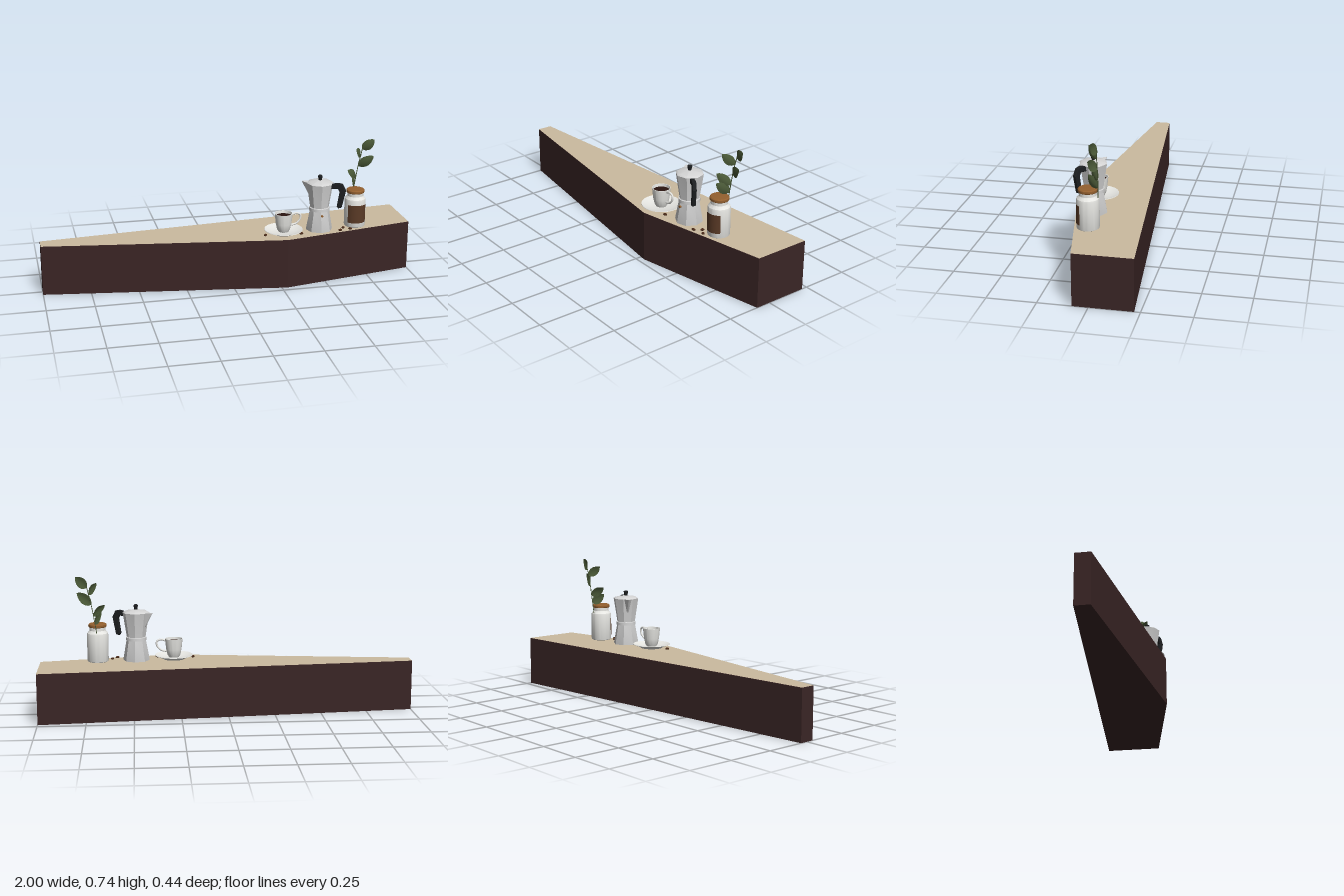
import * as THREE from 'three';
import { toCreasedNormals } from 'three/addons/utils/BufferGeometryUtils.js';
import { ConvexGeometry } from 'three/addons/geometries/ConvexGeometry.js';

const TOP = 0.27; // height of the counter top

function material(name, color, side = THREE.FrontSide) {
  const m = new THREE.MeshStandardMaterial({ color, side });
  m.name = name;
  return m;
}

const v2 = (list) => list.map(([x, y]) => new THREE.Vector2(x, y));
const v3 = (list) => list.map((p) => new THREE.Vector3(...p));

function add(parent, name, geometry, mat, pos = [0, 0, 0]) {
  const mesh = new THREE.Mesh(geometry, mat);
  mesh.name = name;
  mesh.position.set(...pos);
  parent.add(mesh);
  return mesh;
}

function subgroup(parent, name, x, y, z) {
  const g = new THREE.Group();
  g.name = name;
  g.position.set(x, y, z);
  parent.add(g);
  return g;
}

function lathe(points, segments = 40, phiStart = 0) {
  return toCreasedNormals(new THREE.LatheGeometry(v2(points), segments, phiStart), 0.5);
}

// Pointed leaf, folded lightly along its midrib, running from base to tip
function leafGeometry(base, tip, facing, width) {
  const a = new THREE.Vector3(...base);
  const axis = new THREE.Vector3(...tip).sub(a);
  const side = axis.clone().cross(new THREE.Vector3(...facing)).normalize();
  const normal = side.clone().cross(axis).normalize();
  const len = axis.length();
  const geo = new THREE.PlaneGeometry(2, 1, 4, 10);
  const p = geo.attributes.position;
  for (let i = 0; i < p.count; i++) {
    const u = p.getX(i), t = p.getY(i) + 0.5;
    const w = 0.5 * width * Math.pow(Math.sin(Math.PI * Math.pow(t, 0.85)), 0.75) || 0;
    const lift = len * 0.1 * Math.sin(Math.PI * t) - Math.abs(u) * w * 0.25;
    const q = a.clone().addScaledVector(axis, t).addScaledVector(side, u * w).addScaledVector(normal, lift);
    p.setXYZ(i, q.x, q.y, q.z);
  }
  geo.computeVertexNormals();
  return geo;
}

export function createModel() {
  const model = new THREE.Group();
  model.name = 'coffeeCounter';

  const darkWood = material('darkWood', 0x3a2525);
  const beige = material('beigeTop', 0xcbbba0);
  const white = material('whiteCeramic', 0xe9e9e5, THREE.DoubleSide);
  const metal = material('metal', 0xd4d4d4);
  const black = material('black', 0x1d1f21);
  const cork = material('cork', 0x94602f);
  const labelBrown = material('labelBrown', 0x5a3a26, THREE.DoubleSide);
  const beanBrown = material('beanBrown', 0x4a2a18);
  const green = material('leafGreen', 0x4b5a38, THREE.DoubleSide);
  const coffee = material('coffee', 0x2a1510);

  // Counter: five-sided slab with a pale top (shape y becomes -z)
  const outline = new THREE.Shape(v2([[-1, -0.04], [0.28, -0.22], [1, -0.08], [1, 0.22], [-1, 0.04]]));
  const slab = new THREE.ExtrudeGeometry(outline, { depth: TOP - 0.002, bevelEnabled: false });
  slab.rotateX(-Math.PI / 2);
  add(model, 'counterBody', slab, darkWood);
  const sheet = new THREE.ShapeGeometry(outline);
  sheet.rotateX(-Math.PI / 2);
  add(model, 'counterTop', sheet, beige, [0, TOP, 0]);

  // Cup on its saucer
  const cup = subgroup(model, 'cupAndSaucer', 0.282, TOP, 0.109);
  add(cup, 'saucer', lathe([[0, 0.001], [0.058, 0.001], [0.064, 0.006], [0.103, 0.021], [0.102, 0.024],
    [0.062, 0.011], [0, 0.01]], 48), white);
  add(cup, 'cup', lathe([[0, 0.011], [0.028, 0.011], [0.03, 0.016], [0.035, 0.024], [0.042, 0.055],
    [0.048, 0.112], [0.045, 0.112], [0.039, 0.055], [0.03, 0.025], [0, 0.022]]), white);
  const coffeeDisc = new THREE.CircleGeometry(0.0435, 32);
  coffeeDisc.rotateX(-Math.PI / 2);
  add(cup, 'coffee', coffeeDisc, coffee, [0, 0.097, 0]);
  const cupLoop = new THREE.CatmullRomCurve3(v3([[0.043, 0.1, 0], [0.068, 0.108, 0], [0.091, 0.098, 0],
    [0.09, 0.073, 0], [0.068, 0.05, 0], [0.04, 0.043, 0]]));
  add(cup, 'cupHandle', new THREE.TubeGeometry(cupLoop, 28, 0.0055, 8), white);

  // Stovetop pot: eight-sided base, waist, flared jug and lid
  const pot = subgroup(model, 'coffeePot', 0.485, TOP, 0.09);
  pot.rotation.y = -0.5;
  add(pot, 'potBody', lathe([[0, 0.001], [0.07, 0.001], [0.071, 0.008], [0.053, 0.108], [0.053, 0.128],
    [0.051, 0.13], [0.071, 0.258], [0.072, 0.262], [0.062, 0.269], [0.012, 0.278], [0, 0.278]], 8, Math.PI / 8), metal);
  add(pot, 'potWaistRing', new THREE.CylinderGeometry(0.055, 0.055, 0.016, 32), metal, [0, 0.12, 0]);
  add(pot, 'potSpout', new ConvexGeometry(v3([[-0.055, 0.262, 0.027], [-0.055, 0.262, -0.027],
    [-0.1, 0.264, 0.003], [-0.1, 0.264, -0.003], [-0.052, 0.18, 0.004], [-0.052, 0.18, -0.004],
    [-0.04, 0.25, 0]])), metal);
  add(pot, 'lidKnob', toCreasedNormals(new THREE.CylinderGeometry(0.013, 0.008, 0.026, 8), 0.5), black, [0, 0.288, 0]);
  add(pot, 'lidKnobCap', toCreasedNormals(new THREE.CylinderGeometry(0.008, 0.013, 0.004, 8), 0.5), black, [0, 0.303, 0]);
  const handleShape = new THREE.Shape(v2([[0.058, 0.236], [0.1, 0.242], [0.11, 0.222], [0.097, 0.142],
    [0.104, 0.132], [0.118, 0.137], [0.138, 0.228], [0.121, 0.262], [0.1, 0.266], [0.058, 0.258]]));
  const handle = new THREE.ExtrudeGeometry(handleShape, { depth: 0.016, bevelEnabled: true, bevelSize: 0.002,
    bevelThickness: 0.002, bevelSegments: 1 });
  add(pot, 'potHandle', handle, black, [0, 0, -0.008]);
  const valve = new THREE.CylinderGeometry(0.006, 0.006, 0.016, 12);
  valve.rotateX(Math.PI / 2);
  add(model, 'safetyValve', valve, cork, [0.483, 0.362, 0.144]);

  // Jar with a rounded cork lid and a wrapped label
  const jar = subgroup(model, 'jar', 0.691, TOP, 0.07);
  add(jar, 'jarBody', lathe([[0, 0.001], [0.05, 0.001], [0.055, 0.004], [0.057, 0.01], [0.057, 0.148],
    [0.055, 0.157], [0.046, 0.167], [0.043, 0.172], [0.043, 0.192], [0, 0.192]], 48), white);
  add(jar, 'jarLid', lathe([[0, 0.189], [0.045, 0.189], [0.048, 0.192], [0.049, 0.198], [0.048, 0.204],
    [0.044, 0.208], [0, 0.209]]), cork);
  const arc = 1.0;
  add(jar, 'jarLabel', new THREE.CylinderGeometry(0.0578, 0.0578, 0.099, 32, 1, true, -arc, 2 * arc),
    labelBrown, [0, 0.0785, 0]);

  // Leafy sprig rising behind the lid
  const sprig = subgroup(model, 'sprig', 0, 0, 0);
  const stem = new THREE.CatmullRomCurve3(v3([[0.692, 0.42, 0.02], [0.704, 0.5, 0.016], [0.72, 0.59, 0.015],
    [0.734, 0.65, 0.014], [0.743, 0.69, 0.01]]));
  add(sprig, 'stem', new THREE.TubeGeometry(stem, 24, 0.0022, 6), green);
  const toLeft = [0.6, 0.3, 0.7], toRight = [-0.3, -0.1, 0.95];
  [
    [[0.702, 0.485, 0.016], [0.668, 0.537, 0.074], toLeft, 0.055],
    [[0.71, 0.528, 0.016], [0.648, 0.578, 0.056], toLeft, 0.05],
    [[0.719, 0.588, 0.015], [0.796, 0.648, 0.045], toRight, 0.055],
    [[0.733, 0.643, 0.015], [0.69, 0.696, 0.062], toLeft, 0.05],
    [[0.742, 0.678, 0.011], [0.802, 0.735, 0.03], toRight, 0.055],
  ].forEach((leaf, i) => add(sprig, 'leaf' + (i + 1), leafGeometry(...leaf), green));

  // Scattered coffee beans
  const bean = new THREE.SphereGeometry(0.011, 14, 10);
  bean.scale(1, 0.55, 0.7);
  [[0.177, 0.135, 0.9], [0.37, 0.152, 0.4], [0.588, 0.144, 0.2], [0.615, 0.11, 1.2], [0.648, 0.133, -0.5]]
    .forEach(([x, z, turn], i) => {
      add(model, 'bean' + (i + 1), bean, beanBrown, [x, TOP + 0.006, z]).rotation.y = turn;
    });

  return model;
}
